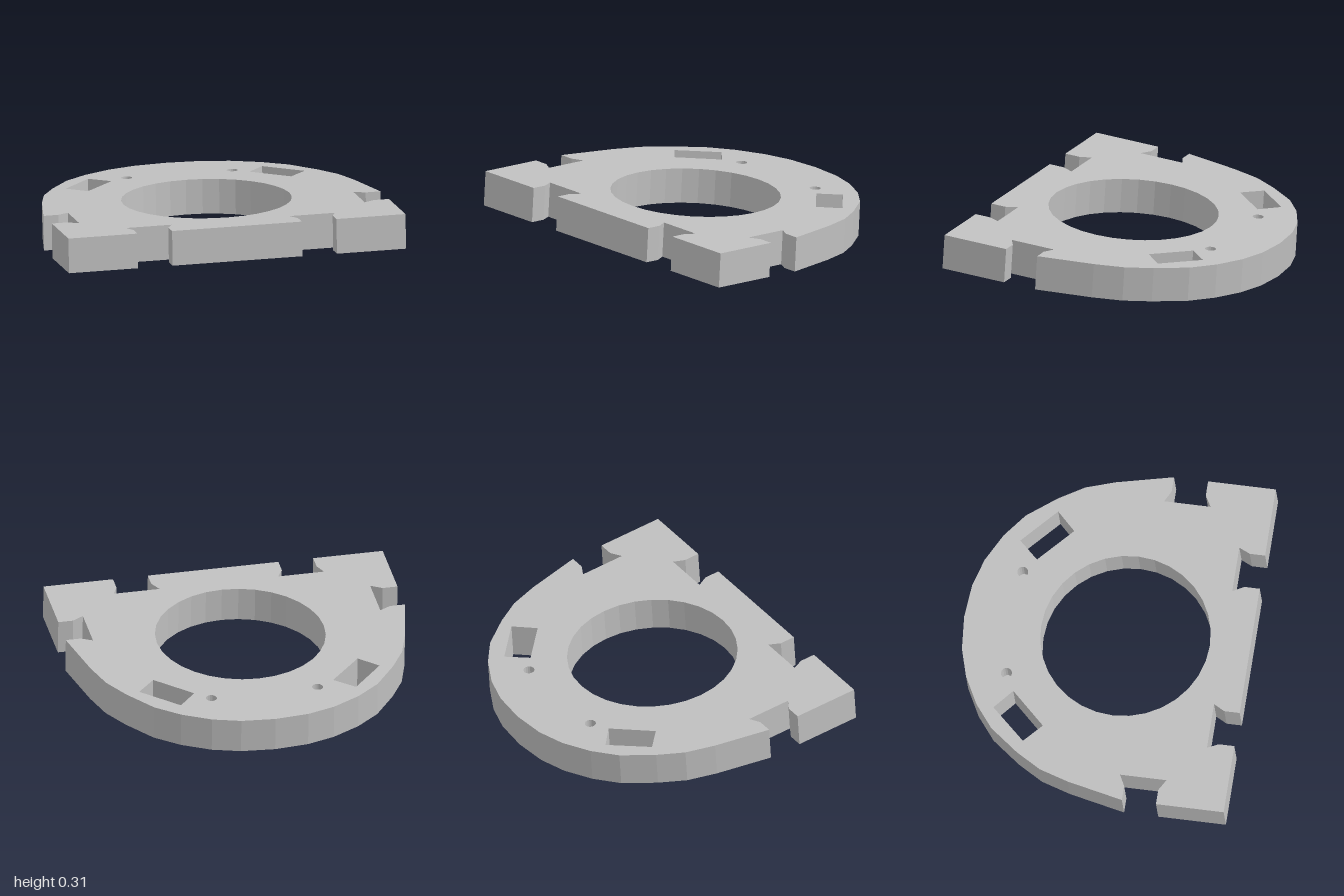
import * as THREE from 'three';

const HALF = 0.1025;       // half the plate thickness
const BORE = { r: 0.492, z: 0.107, sides: 32 };
const LIP = 0.522, GROOVE = 0.64;
const V = (x, z) => new THREE.Vector2(x, -z); // plan point (x, z) to shape space

function circle(cx, cz, r, n) {
  return Array.from({ length: n }, (_, i) => {
    const a = (i / n) * Math.PI * 2;
    return V(cx + r * Math.cos(a), cz - r * Math.sin(a));
  });
}

// Flat horizontal face with holes, facing up or down
function cap(outline, holes, y, up) {
  const shape = new THREE.Shape(outline);
  holes.forEach((h) => shape.holes.push(new THREE.Path(h)));
  const g = new THREE.ShapeGeometry(shape);
  g.rotateX(-Math.PI / 2).translate(0, y, 0);
  if (!up) {
    const ix = g.index.array;
    for (let i = 0; i < ix.length; i += 3) [ix[i], ix[i + 1]] = [ix[i + 1], ix[i]];
    g.computeVertexNormals();
  }
  return g;
}

// Vertical wall around a ring; inward is for holes
function wall(ring, y0, y1, inward) {
  const pts = ring.slice();
  if (THREE.ShapeUtils.isClockWise(pts) !== inward) pts.reverse();
  const pos = [];
  pts.forEach((a, i) => {
    const b = pts[(i + 1) % pts.length];
    const A = [a.x, y0, -a.y], B = [b.x, y0, -b.y], C = [b.x, y1, -b.y], D = [a.x, y1, -a.y];
    pos.push(...A, ...B, ...C, ...A, ...C, ...D);
  });
  const g = new THREE.BufferGeometry();
  g.setAttribute('position', new THREE.Float32BufferAttribute(pos, 3));
  g.computeVertexNormals();
  return g;
}

export function createModel() {
  const model = new THREE.Group();
  model.name = 'mountingPlate';
  const grey = new THREE.MeshStandardMaterial({ color: 0xc0c0c0, flatShading: true });
  grey.name = 'plain grey';

  const plate = new THREE.Group();
  plate.name = 'tiltedPlate';
  const add = (name, geometry) => {
    const m = new THREE.Mesh(geometry, grey);
    m.name = name;
    plate.add(m);
  };

  // Right half of the outline: front edge, dovetail slots, curved back
  const half = [
    [0.385, 0.832], [0.385, 0.742], [0.35, 0.677], [0.62, 0.677], [0.59, 0.742], [0.59, 0.832],
    [1, 0.832], [1, 0.437], [0.912, 0.437], [0.847, 0.475], [0.847, 0.204], [0.912, 0.238],
    [1, 0.238], [0.927, -0.09], [0.873, -0.26], [0.787, -0.406], [0.659, -0.575],
    [0.523, -0.683], [0.36, -0.769], [0.198, -0.817],
  ];
  const outline = [
    ...half.map(([x, z]) => V(x, z)),
    V(0, -0.834),
    ...half.slice().reverse().map(([x, z]) => V(-x, z)),
  ];

  // Angled rectangular windows
  const windows = [
    [[0.4, -0.47], [0.503, -0.583], [0.707, -0.393], [0.6, -0.283]],
    [[-0.712, -0.383], [-0.53, -0.583], [-0.416, -0.484], [-0.605, -0.283]],
  ].map((w) => w.map(([x, z]) => V(x, z)));

  // Small blind holes
  const pins = [-0.312, 0.314].map((x) => circle(x, -0.54, 0.032, 16));

  const ring = (r) => circle(0, BORE.z, r, BORE.sides);
  add('topFace', cap(outline, [ring(BORE.r), ...windows, ...pins], HALF, true));
  add('undersideFace', cap(outline, [ring(GROOVE), ...windows], -HALF, false));
  add('outerEdge', wall(outline, -HALF, HALF, false));
  windows.forEach((w) => add('windowWall', wall(w, -HALF, HALF, true)));
  pins.forEach((p) => {
    add('pinHoleWall', wall(p, HALF - 0.12, HALF, true));
    add('pinHoleFloor', cap(p, [], HALF - 0.12, true));
  });

  // Bore wall, thin lip and rounded groove underneath
  const profile = [new THREE.Vector2(BORE.r, HALF), new THREE.Vector2(BORE.r, -HALF)];
  const mid = (LIP + GROOVE) / 2, rad = (GROOVE - LIP) / 2;
  for (let i = 0; i <= 10; i++) {
    const a = Math.PI * (1 - i / 10);
    profile.push(new THREE.Vector2(mid + rad * Math.cos(a), -HALF + rad * Math.sin(a)));
  }
  add('boreAndGroove', new THREE.LatheGeometry(profile, BORE.sides).translate(0, 0, BORE.z));

  // Front edge raised slightly
  plate.rotation.x = -0.065;
  plate.position.y = 0.16;
  model.add(plate);
  return model;
}
